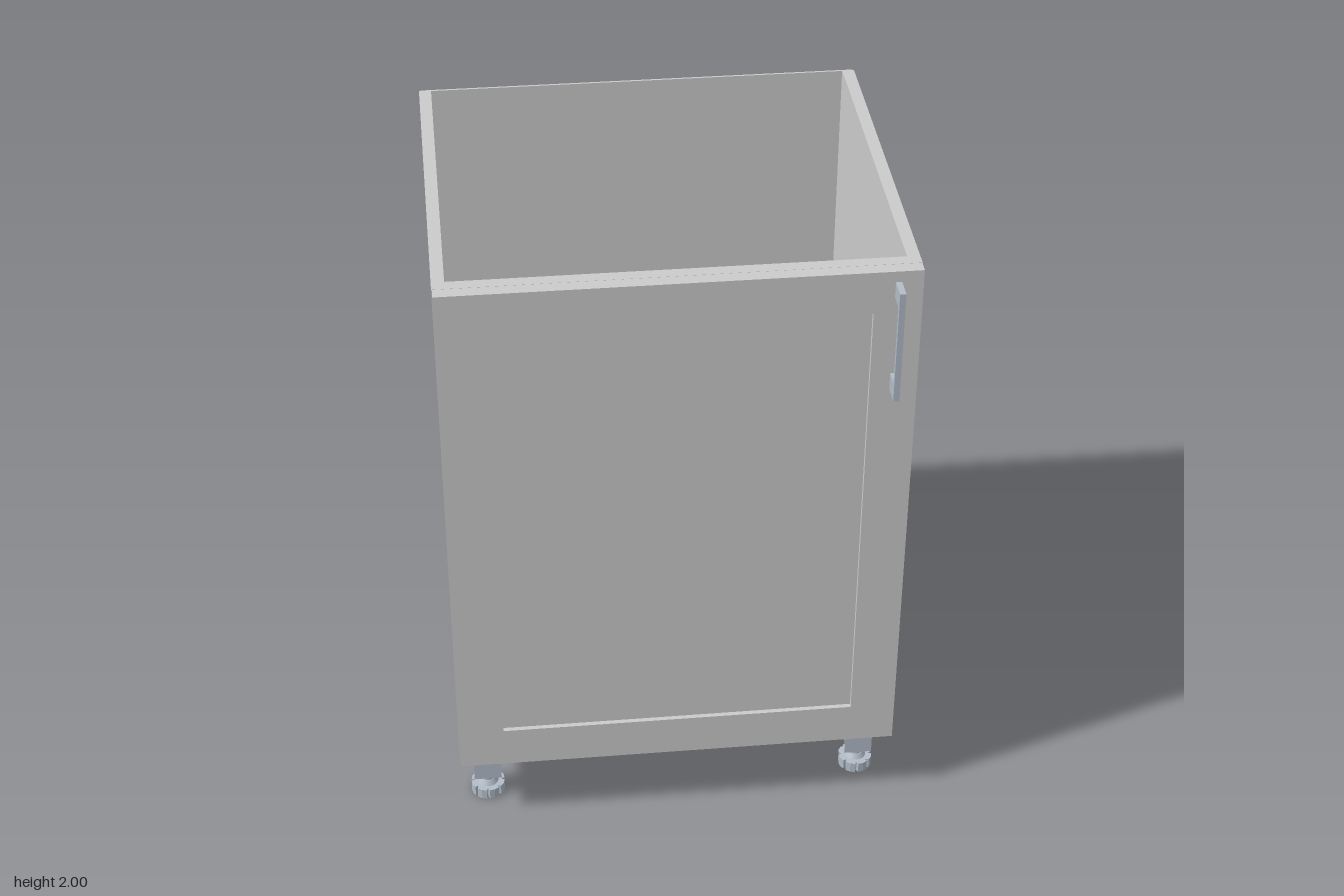
import * as THREE from 'three';

const board = new THREE.MeshStandardMaterial({ color: 0xcccccc });
const metal = new THREE.MeshStandardMaterial({ color: 0xb2bcc8 });
const metalFlat = new THREE.MeshStandardMaterial({ color: 0xb2bcc8, flatShading: true });

function add(parent, name, geometry, material) {
  const mesh = new THREE.Mesh(geometry, material);
  mesh.name = name;
  parent.add(mesh);
  return mesh;
}

// Box given by its limits on each axis
function box(parent, name, [x0, x1], [y0, y1], [z0, z1], material = board) {
  const g = new THREE.BoxGeometry(x1 - x0, y1 - y0, z1 - z0);
  g.translate((x0 + x1) / 2, (y0 + y1) / 2, (z0 + z1) / 2);
  return add(parent, name, g, material);
}

function rectPath(path, x0, x1, y0, y1) {
  path.moveTo(x0, y0).lineTo(x1, y0).lineTo(x1, y1).lineTo(x0, y1).closePath();
  return path;
}

function extrude(points, depth) {
  const shape = new THREE.Shape(points.map(([x, y]) => new THREE.Vector2(x, y)));
  return new THREE.ExtrudeGeometry(shape, { depth, bevelEnabled: false });
}

function cylinder(parent, name, rTop, rBottom, y0, y1, sides, material = metal) {
  const g = new THREE.CylinderGeometry(rTop, rBottom, y1 - y0, sides);
  g.translate(0, (y0 + y1) / 2, 0);
  return add(parent, name, g, material);
}

// Adjustable leg with its origin on the floor
function makeLeg() {
  const leg = new THREE.Group();
  leg.name = 'leg';

  // foot pad with notches around its rim
  const rim = [];
  const lobes = 8;
  for (let i = 0; i < lobes; i++) {
    const a = (i / lobes) * Math.PI * 2;
    for (const [da, r] of [[0.06, 0.054], [0.36, 0.055], [0.66, 0.054], [0.69, 0.045], [0.755, 0.045]]) {
      rim.push([Math.cos(a + da) * r, Math.sin(a + da) * r]);
    }
  }
  const pad = extrude(rim, 0.036);
  pad.rotateX(-Math.PI / 2);
  add(leg, 'footPad', pad, metal);

  cylinder(leg, 'footCollar', 0.024, 0.034, 0.036, 0.052, 20);
  cylinder(leg, 'screw', 0.022, 0.022, 0.05, 0.08, 16);
  cylinder(leg, 'stem', 0.03, 0.028, 0.06, 0.2, 20);
  cylinder(leg, 'stemRing', 0.033, 0.033, 0.16, 0.175, 20);

  // socket under the cabinet floor with ribs
  cylinder(leg, 'socket', 0.056, 0.05, 0.19, 0.232, 12, metalFlat);
  box(leg, 'socketPlate', [-0.058, 0.058], [0.228, 0.24], [-0.05, 0.05], metal);
  for (let i = 0; i < 4; i++) {
    const rib = box(leg, 'socketRib', [0.045, 0.058], [0.19, 0.235], [-0.007, 0.007], metal);
    rib.rotation.y = (i * Math.PI) / 2;
  }

  // plinth clip on the front of the stem
  box(leg, 'clipPlate', [-0.044, 0.044], [0.083, 0.148], [0.038, 0.047], metal);
  for (const y of [0.085, 0.136]) {
    box(leg, 'clipArm', [-0.03, 0.03], [y, y + 0.01], [0.015, 0.04], metal);
  }
  return leg;
}

// Door hinge, origin on the inner face of the side panel
function makeHinge() {
  const hinge = new THREE.Group();
  hinge.name = 'hinge';
  const arm = extrude([[0.004, -0.49], [0.045, -0.49], [0.034, -0.36], [0.018, -0.36], [0.008, -0.4]], 0.045);
  arm.rotateX(-Math.PI / 2);
  arm.scale(1, 1, -1);
  // mirroring in z reversed the faces, so swap two corners of each triangle
  const p = arm.attributes.position;
  for (let i = 0; i < p.count; i += 3) {
    const a = [p.getX(i), p.getY(i), p.getZ(i)];
    p.setXYZ(i, p.getX(i + 1), p.getY(i + 1), p.getZ(i + 1));
    p.setXYZ(i + 1, ...a);
  }
  arm.computeVertexNormals();
  // the arm outline is drawn with z pointing forward
  arm.computeBoundingBox();
  arm.translate(0, -0.0225, 0.425 - (arm.boundingBox.min.z + arm.boundingBox.max.z) / 2);
  add(hinge, 'hingeArm', arm, metalFlat);
  box(hinge, 'hingePlate', [0, 0.008], [-0.05, 0.05], [0.4, 0.45], metal);
  box(hinge, 'hingeKnuckle', [0.005, 0.045], [-0.025, 0.025], [0.485, 0.53], metal);
  const cup = new THREE.CylinderGeometry(0.04, 0.04, 0.012, 24);
  cup.rotateX(Math.PI / 2);
  cup.translate(0.05, 0, 0.535);
  add(hinge, 'hingeCup', cup, metal);
  return hinge;
}

export function createModel() {
  const model = new THREE.Group();
  model.name = 'baseCabinet';

  // carcass, open at the top
  for (const s of [-1, 1]) {
    const x = s < 0 ? [-0.695, -0.657] : [0.657, 0.695];
    box(model, s < 0 ? 'rightSide' : 'leftSide', x, [0.24, 1.998], [-0.643, 0.538]);
  }
  box(model, 'bottomPanel', [-0.657, 0.657], [0.24, 0.28], [-0.643, 0.538]);
  box(model, 'backPanel', [-0.69, 0.69], [0.243, 1.996], [-0.65, -0.643]);
  box(model, 'frontRail', [-0.657, 0.657], [1.82, 1.998], [0.5, 0.538]);
  box(model, 'backRail', [-0.657, 0.657], [0.28, 0.46], [-0.643, -0.605]);

  // framed door with a slightly recessed panel
  const frame = rectPath(new THREE.Shape(), -0.693, 0.693, 0.24, 2);
  frame.holes.push(rectPath(new THREE.Path(), -0.553, 0.553, 0.377, 1.863));
  const frameGeometry = new THREE.ExtrudeGeometry(frame, { depth: 0.04, bevelEnabled: false });
  frameGeometry.translate(0, 0, 0.542);
  const door = new THREE.Group();
  door.name = 'door';
  model.add(door);
  add(door, 'doorFrame', frameGeometry, board);
  box(door, 'doorPanel', [-0.553, 0.553], [0.377, 1.863], [0.542, 0.567]);

  // bow handle, drawn in side profile (forward, up)
  const bow = extrude([
    [0.582, 1.6], [0.648, 1.6], [0.648, 1.965], [0.582, 1.965],
    [0.582, 1.915], [0.633, 1.915], [0.633, 1.655], [0.582, 1.655],
  ], 0.018);
  bow.rotateY(-Math.PI / 2);
  bow.translate(0.63, 0, 0);
  add(door, 'handle', bow, metal);

  // hinges on the side away from the handle
  for (const y of [0.55, 1.69]) {
    const hinge = makeHinge();
    hinge.position.set(-0.657, y, 0);
    model.add(hinge);
  }

  // four legs
  for (const x of [-0.607, 0.607]) {
    for (const z of [-0.525, 0.43]) {
      const leg = makeLeg();
      leg.position.set(x, 0, z);
      model.add(leg);
    }
  }
  return model;
}
